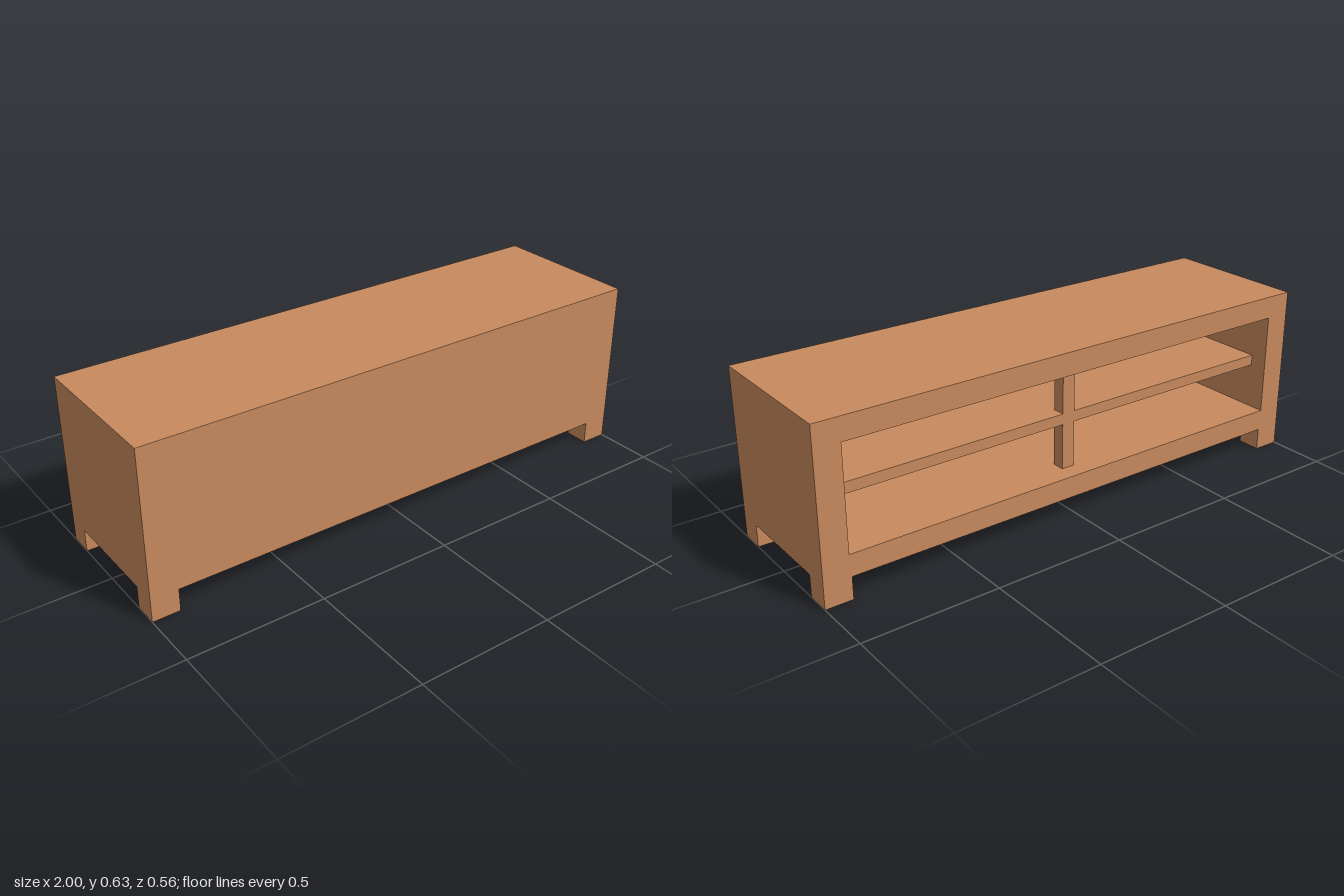
import * as THREE from 'three';

export function createModel() {
  const group = new THREE.Group();
  const wood = new THREE.MeshStandardMaterial({ color: 0xc88a5e });

  // Box given by its lower and upper corner
  function box(name, [x0, y0, z0], [x1, y1, z1]) {
    const mesh = new THREE.Mesh(new THREE.BoxGeometry(x1 - x0, y1 - y0, z1 - z0), wood);
    mesh.position.set((x0 + x1) / 2, (y0 + y1) / 2, (z0 + z1) / 2);
    mesh.name = name;
    group.add(mesh);
  }

  const W = 1, D = 0.282, H = 0.627;       // half width, half depth, height
  const legH = 0.083, legX = 0.1, legZ = 0.09;
  const inX = 0.905, floorY = 0.163, ceilY = 0.543; // opening at the back
  const panel = 0.05, recess = 0.067;
  const innerZ = D - panel, shelfZ = -D + recess;

  // Cabinet body: a rectangular frame, open at the back
  const frame = new THREE.Shape([
    new THREE.Vector2(-W, legH), new THREE.Vector2(W, legH),
    new THREE.Vector2(W, H), new THREE.Vector2(-W, H),
  ]);
  frame.holes.push(new THREE.Path([
    new THREE.Vector2(-inX, floorY), new THREE.Vector2(-inX, ceilY),
    new THREE.Vector2(inX, ceilY), new THREE.Vector2(inX, floorY),
  ]));
  const body = new THREE.Mesh(
    new THREE.ExtrudeGeometry(frame, { depth: 2 * D, bevelEnabled: false }), wood);
  body.position.z = -D;
  body.name = 'cabinetBody';
  group.add(body);

  // Closed front, filling the frame
  box('frontPanel', [-inX, floorY, innerZ], [inX, ceilY, D]);

  // Shelf and the central post, set back from the opening
  box('shelf', [-inX, 0.333, shelfZ], [inX, 0.373, innerZ]);
  box('centrePost', [-0.025, floorY, shelfZ], [0.025, ceilY, shelfZ + 0.048]);

  // Four corner legs, flush with the body
  for (const x of [-W, W - legX])
    for (const z of [-D, D - legZ])
      box('leg', [x, 0, z], [x + legX, legH, z + legZ]);

  return group;
}
